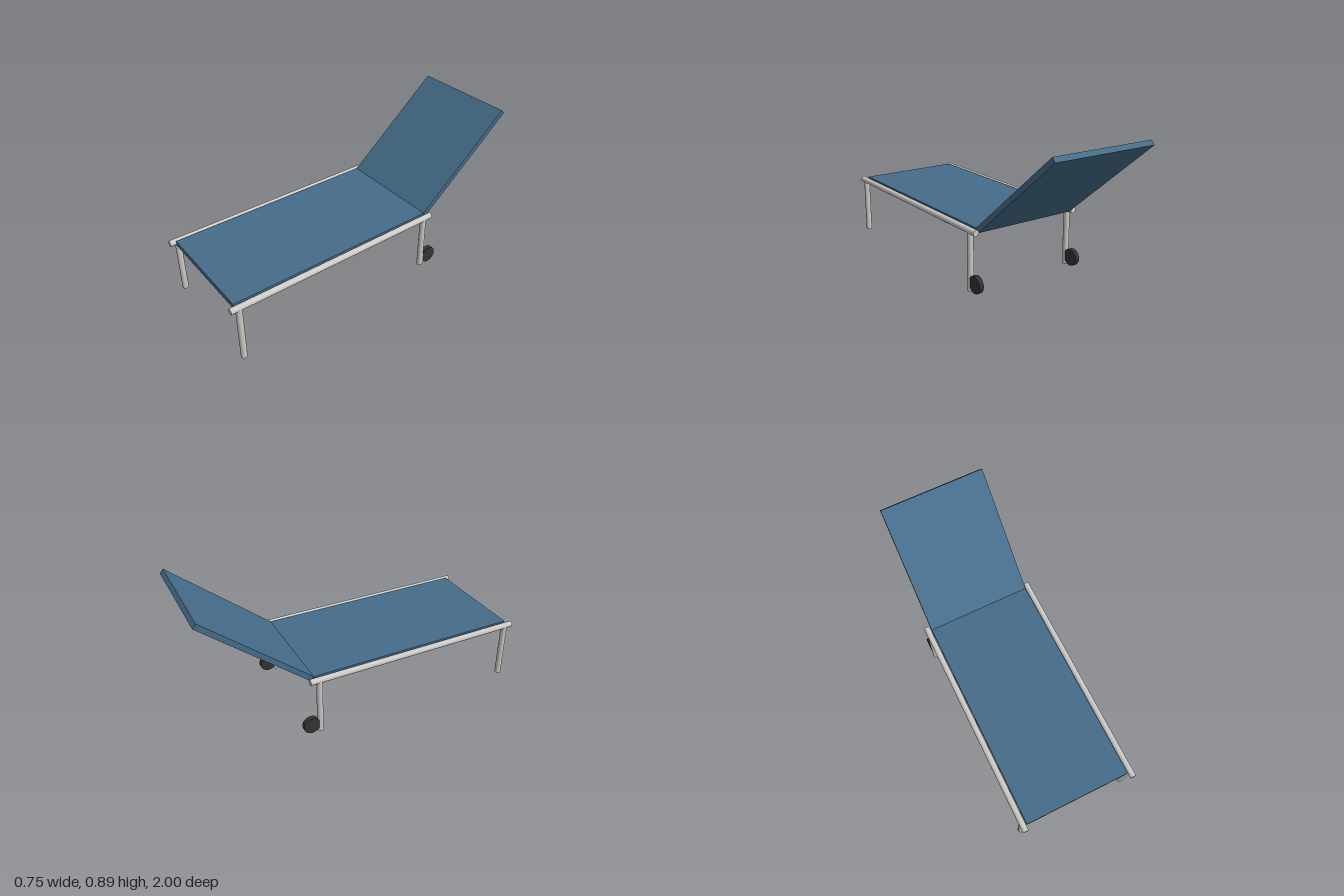
import * as THREE from 'three';

export function createModel() {
  const fabric = new THREE.MeshStandardMaterial({ color: 0x466d8a });
  fabric.name = 'blue fabric';
  const metal = new THREE.MeshStandardMaterial({ color: 0xcccbc7 });
  metal.name = 'light metal';
  const rubber = new THREE.MeshStandardMaterial({ color: 0x333333 });
  rubber.name = 'dark rubber';

  const model = new THREE.Group();
  model.name = 'sunLounger';

  const add = (name, geometry, material, x, y, z, parent = model) => {
    const mesh = new THREE.Mesh(geometry, material);
    mesh.name = name;
    mesh.position.set(x, y, z);
    parent.add(mesh);
    return mesh;
  };

  const width = 0.664, thickness = 0.032;
  const seatTop = 0.373, seatFront = 0.967, hingeZ = -0.367;
  const tube = 0.0187, railX = 0.354, railY = 0.355;

  // Flat seat panel
  const seatLength = seatFront - hingeZ;
  add('seat', new THREE.BoxGeometry(width, thickness, seatLength), fabric,
    0, seatTop - thickness / 2, (seatFront + hingeZ) / 2);

  // Backrest, hinged on the rear top edge of the seat and raised 40 degrees
  const hinge = new THREE.Group();
  hinge.name = 'backrestHinge';
  hinge.position.set(0, seatTop, hingeZ);
  hinge.rotation.x = THREE.MathUtils.degToRad(40);
  model.add(hinge);
  const backLength = 0.8;
  add('backrest', new THREE.BoxGeometry(width, thickness, backLength), fabric,
    0, -thickness / 2, -backLength / 2, hinge);

  // Side rails, legs and rear wheels, mirrored
  const railGeometry = new THREE.CylinderGeometry(tube, tube, 1.4, 24).rotateX(Math.PI / 2);
  const legGeometry = new THREE.CylinderGeometry(tube, tube, railY, 24);
  const wheelGeometry = new THREE.CylinderGeometry(0.052, 0.052, 0.028, 24).rotateZ(Math.PI / 2);
  for (const [side, s] of [['left', 1], ['right', -1]]) {
    add(`${side}Rail`, railGeometry, metal, s * railX, railY, 0.3);
    add(`${side}FrontLeg`, legGeometry, metal, s * railX, railY / 2, 0.949);
    add(`${side}BackLeg`, legGeometry, metal, s * railX, railY / 2, -0.343);
    add(`${side}Wheel`, wheelGeometry, rubber, s * railX, 0.055, -0.4);
  }

  return model;
}
